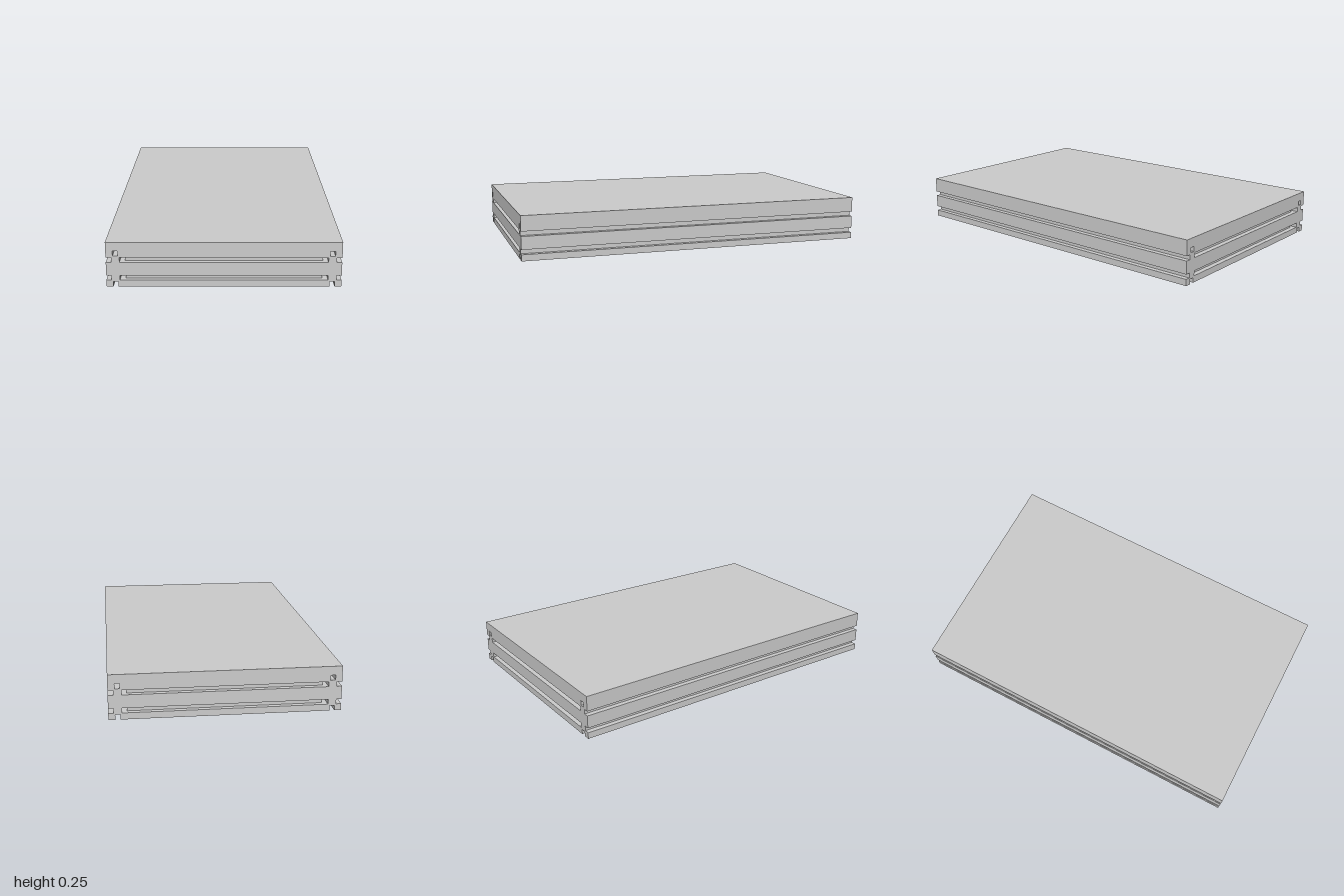
import * as THREE from 'three';

const W = 1.246, L = 2, RAIL = 0.1, RAIL_H = 0.2, PLATE = 0.05;
const SLOT = 0.0135, DEPTH = 0.028;
const material = new THREE.MeshStandardMaterial({ color: 0xcccccc });

// Slotted rail section: one slot on top and bottom, two on each side
function railShape() {
  const h = RAIL / 2;
  const right = [
    [SLOT, 0], [h, 0],
    ...[0.05, 0.15].flatMap((y) => [
      [h, y - SLOT], [h - DEPTH, y - SLOT], [h - DEPTH, y + SLOT], [h, y + SLOT],
    ]),
    [h, RAIL_H], [SLOT, RAIL_H], [SLOT, RAIL_H - DEPTH],
  ];
  const half = [[SLOT, DEPTH], ...right];
  const left = half.map(([x, y]) => [-x, y]).reverse();
  return new THREE.Shape([...half, ...left].map(([x, y]) => new THREE.Vector2(x, y)));
}

function rail(name, length) {
  const geo = new THREE.ExtrudeGeometry(railShape(), { depth: length, bevelEnabled: false });
  geo.translate(0, 0, -length / 2);
  const mesh = new THREE.Mesh(geo, material);
  mesh.name = name;
  return mesh;
}

// Three thin quarter discs meeting in a corner, spreading towards +x, +y, +z
function cornerBracket() {
  const group = new THREE.Group();
  group.name = 'cornerBracket';
  const r = 0.09;
  const shape = new THREE.Shape();
  shape.moveTo(0, 0);
  shape.lineTo(r, 0);
  shape.absarc(0, 0, r, 0, Math.PI / 2, false);
  shape.lineTo(0, 0);
  const geo = new THREE.ExtrudeGeometry(shape, { depth: 0.003, bevelEnabled: false, curveSegments: 12 });
  const wallX = geo.clone().rotateY(-Math.PI / 2).translate(0.003, 0, 0);
  const ceiling = geo.clone().rotateX(Math.PI / 2).translate(0, 0.003, 0);
  for (const [name, g] of [['bracketEndWall', geo], ['bracketSideWall', wallX], ['bracketCeiling', ceiling]]) {
    const mesh = new THREE.Mesh(g, material);
    mesh.name = name;
    group.add(mesh);
  }
  return group;
}

export function createModel() {
  const model = new THREE.Group();
  model.name = 'slottedFrameLid';

  // Flat top panel
  const top = new THREE.Mesh(new THREE.BoxGeometry(W, PLATE, L), material);
  top.name = 'topPanel';
  top.position.y = RAIL_H + PLATE / 2;
  model.add(top);

  for (const s of [1, -1]) {
    // Long side rails run the full length
    const side = rail(s > 0 ? 'leftRail' : 'rightRail', L);
    side.position.x = s * (W - RAIL) / 2;
    model.add(side);

    // Short end rails fit between them
    const end = rail(s > 0 ? 'frontRail' : 'backRail', W - 2 * RAIL);
    end.rotation.y = Math.PI / 2;
    end.position.z = s * (L - RAIL) / 2;
    model.add(end);

    // Brackets in the inner corners under the panel
    for (const t of [1, -1]) {
      const bracket = cornerBracket();
      bracket.scale.set(-s, -1, -t);
      bracket.position.set(s * (W / 2 - RAIL), RAIL_H, t * (L / 2 - RAIL));
      model.add(bracket);
    }
  }
  return model;
}
